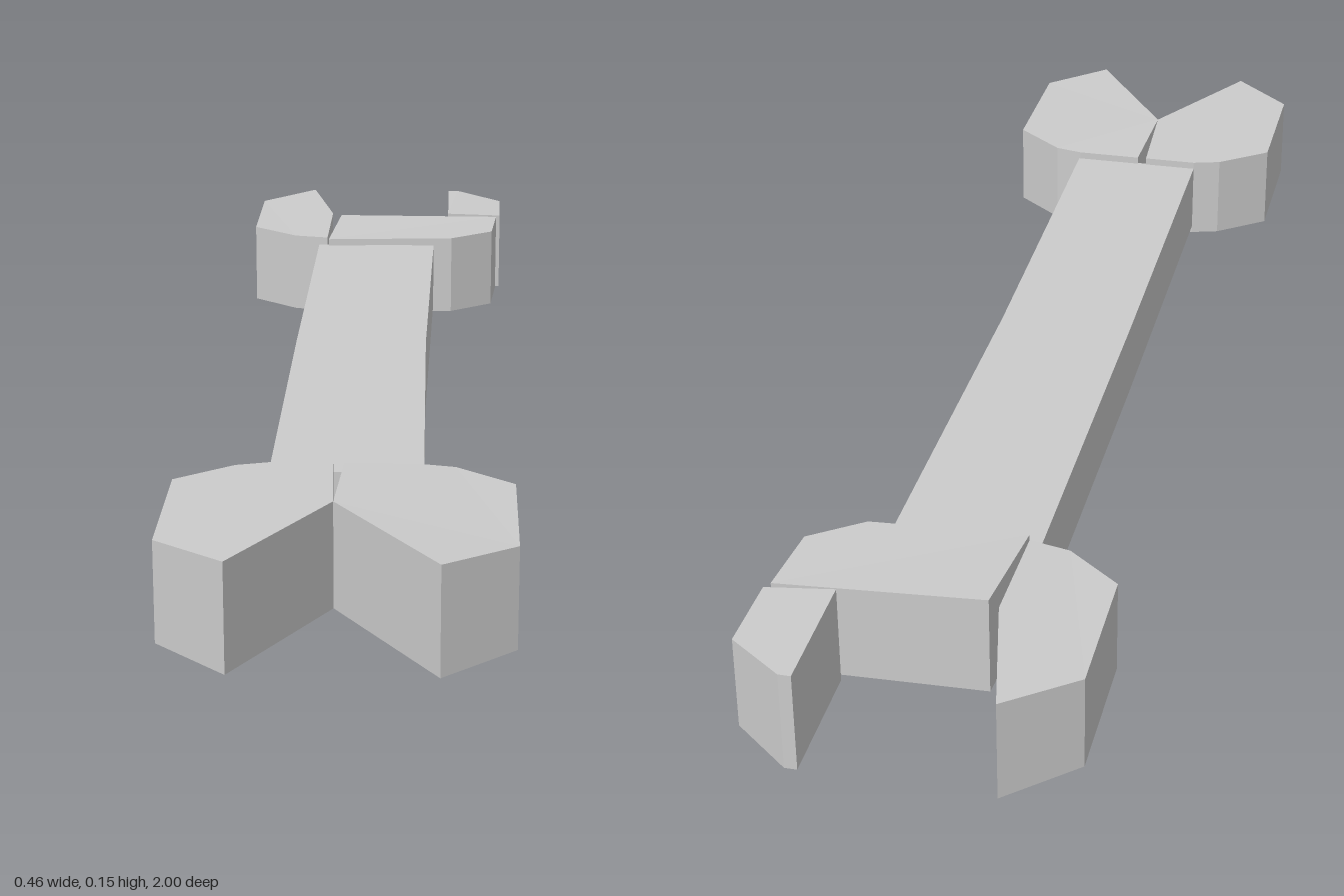
import * as THREE from 'three';

const MID = 0.077;
const material = new THREE.MeshStandardMaterial({ color: 0xcccccc, flatShading: true });

// Flat prism from an outline of [x, z] corners, centred on the tool's mid height.
// halfAt(x, z) gives the half thickness at each corner.
function slab(name, outline, halfAt) {
  const shape = new THREE.Shape(outline.map(([x, z]) => new THREE.Vector2(x, -z)));
  const geo = new THREE.ExtrudeGeometry(shape, { depth: 2, bevelEnabled: false });
  geo.rotateX(-Math.PI / 2);
  const p = geo.attributes.position;
  for (let i = 0; i < p.count; i++) {
    const side = p.getY(i) > 1 ? 1 : -1;
    p.setY(i, MID + side * halfAt(p.getX(i), p.getZ(i)));
  }
  geo.computeVertexNormals();
  const mesh = new THREE.Mesh(geo, material);
  mesh.name = name;
  return mesh;
}

// Jaws thin out slightly at their outer sides and at the handle end
const jawHalf = (x, z) => (Math.abs(x) > 0.2 || Math.abs(z) < 0.66 ? 0.07 : 0.075);

export function createModel() {
  const wrench = new THREE.Group();
  wrench.name = 'wrench';

  // Handle, with a very slight waist
  wrench.add(slab('handle', [
    [-0.11, -0.625], [0.102, -0.625], [0.096, 0], [0.102, 0.625], [-0.11, 0.625], [-0.112, 0],
  ], () => 0.058));

  // Front head: two jaws making a V, split by a narrow slit
  wrench.add(slab('frontRightJaw', [
    [-0.022, 0.622], [-0.11, 0.622], [-0.155, 0.635], [-0.234, 0.695],
    [-0.234, 0.918], [-0.138, 1], [-0.014, 0.785],
  ], jawHalf));
  wrench.add(slab('frontLeftJaw', [
    [-0.007, 0.622], [0.1, 0.622], [0.145, 0.632], [0.225, 0.697],
    [0.225, 0.922], [0.128, 1], [-0.014, 0.785],
  ], jawHalf));

  // Back head: pointed fixed jaw, crosspiece and small movable jaw
  wrench.add(slab('backRightJaw', [
    [-0.138, -1], [-0.093, -0.8], [-0.095, -0.63], [-0.155, -0.643],
    [-0.234, -0.707], [-0.234, -0.92],
  ], jawHalf));
  wrench.add(slab('backCrosspiece', [
    [-0.076, -0.787], [0.22, -0.804], [0.21, -0.688], [0.135, -0.633], [-0.092, -0.617],
  ], jawHalf));
  wrench.add(slab('backLeftJaw', [
    [0.128, -1], [0.146, -1], [0.229, -0.935], [0.227, -0.815], [0.128, -0.806],
  ], jawHalf));

  return wrench;
}
